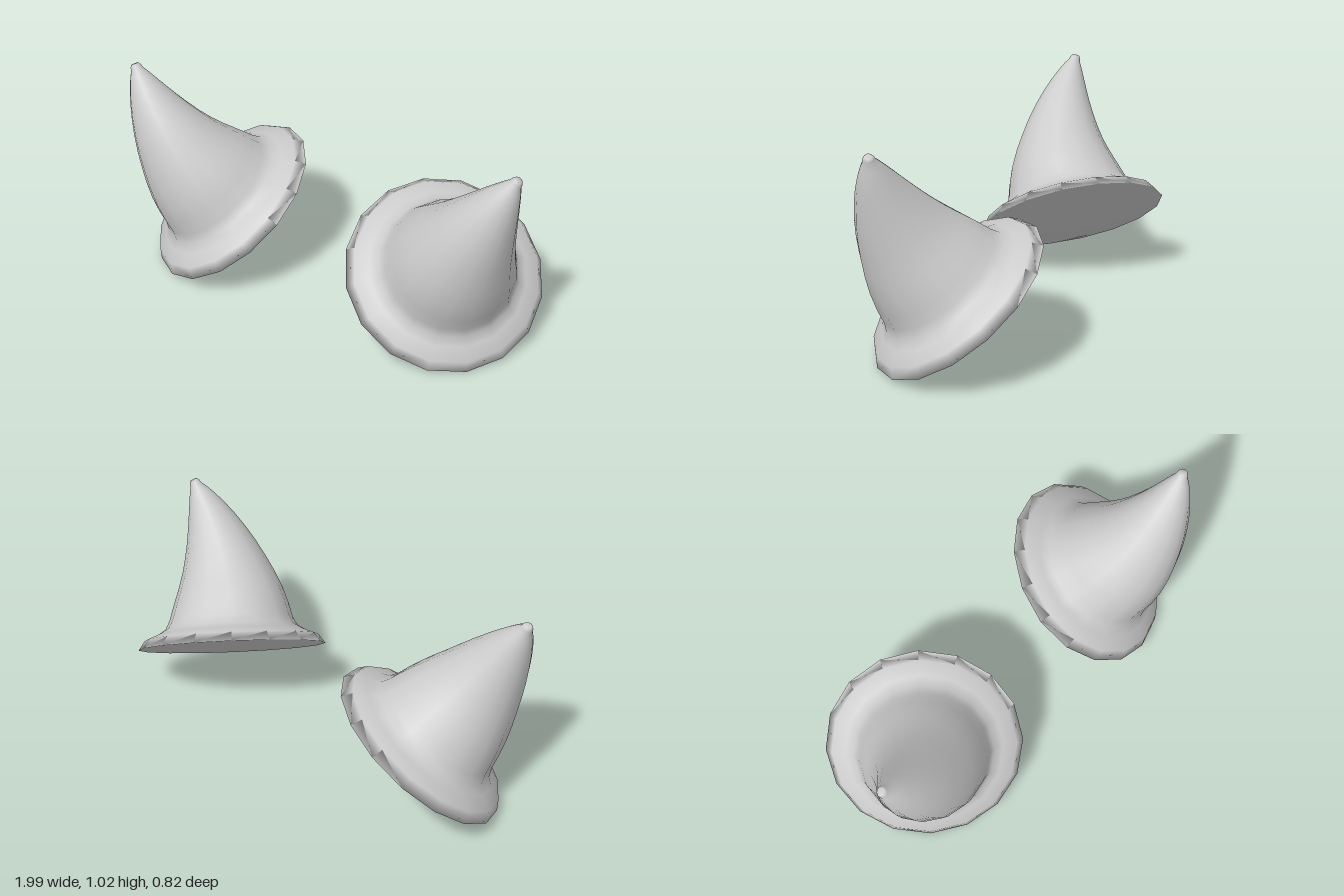
import * as THREE from 'three';

const SIDES = 16;
// Orthonormal frame of the base: horn axis, lowest rim direction, level rim direction
const AXIS = new THREE.Vector3(0.437, 0.786, 0.437).normalize();
const LEVEL = new THREE.Vector3(1, 0, -1).normalize();
const LOW = new THREE.Vector3().crossVectors(LEVEL, AXIS).normalize();
const BASE = new THREE.Vector3(0.585, 0.285, 0);
// Direction in which the horn curls as it rises
const CURL = new THREE.Vector3(0.18, 0.4, -0.9);
CURL.addScaledVector(AXIS, -CURL.dot(AXIS)).normalize();

// [height along axis, radius]: flared rim, neck, tapering body, blunt nub
const PROFILE = [
  [0, 0.461], [0.045, 0.43], [0.072, 0.365], [0.098, 0.325], [0.14, 0.304],
  [0.2, 0.288], [0.27, 0.265], [0.34, 0.238], [0.41, 0.209], [0.48, 0.181],
  [0.55, 0.152], [0.62, 0.121], [0.68, 0.093], [0.73, 0.067], [0.77, 0.044],
  [0.79, 0.03], [0.805, 0.025], [0.815, 0.018],
];

function hornGeometry(side) {
  const positions = [];
  const index = [];
  const push = (v) => positions.push(v.x * side, v.y, v.z);
  const face = (a, b, c) => (side > 0 ? index.push(a, b, c) : index.push(a, c, b));

  // Rings stay square to the curling centre line
  for (const [h, r] of PROFILE) {
    const bend = Math.max(0, h - 0.15);
    const slope = 0.916 * bend;
    const centre = BASE.clone().addScaledVector(AXIS, h).addScaledVector(CURL, 0.458 * bend * bend);
    const tilted = CURL.clone().addScaledVector(AXIS, -slope).normalize();
    for (let j = 0; j < SIDES; j++) {
      const a = (j / SIDES) * Math.PI * 2;
      const w = LOW.clone().multiplyScalar(Math.cos(a)).addScaledVector(LEVEL, Math.sin(a));
      const k = w.dot(CURL);
      w.addScaledVector(CURL, -k).addScaledVector(tilted, k);
      push(w.multiplyScalar(r).add(centre));
    }
  }

  // Side wall
  const last = (PROFILE.length - 1) * SIDES;
  for (let i = 0; i < last; i += SIDES) {
    for (let j = 0; j < SIDES; j++) {
      const n = (j + 1) % SIDES;
      face(i + j, i + n, i + SIDES + n);
      face(i + j, i + SIDES + n, i + SIDES + j);
    }
  }
  // Flat underside and tip
  for (let j = 1; j < SIDES - 1; j++) {
    face(0, j + 1, j);
    face(last, last + j, last + j + 1);
  }

  const geometry = new THREE.BufferGeometry();
  geometry.setAttribute('position', new THREE.Float32BufferAttribute(positions, 3));
  geometry.setIndex(index);
  geometry.computeVertexNormals();
  return geometry;
}

export function createModel() {
  const group = new THREE.Group();
  group.name = 'hornPair';
  const material = new THREE.MeshStandardMaterial({ color: 0xcccccc });
  for (const [name, side] of [['leftHorn', 1], ['rightHorn', -1]]) {
    const horn = new THREE.Mesh(hornGeometry(side), material);
    horn.name = name;
    group.add(horn);
  }
  return group;
}
